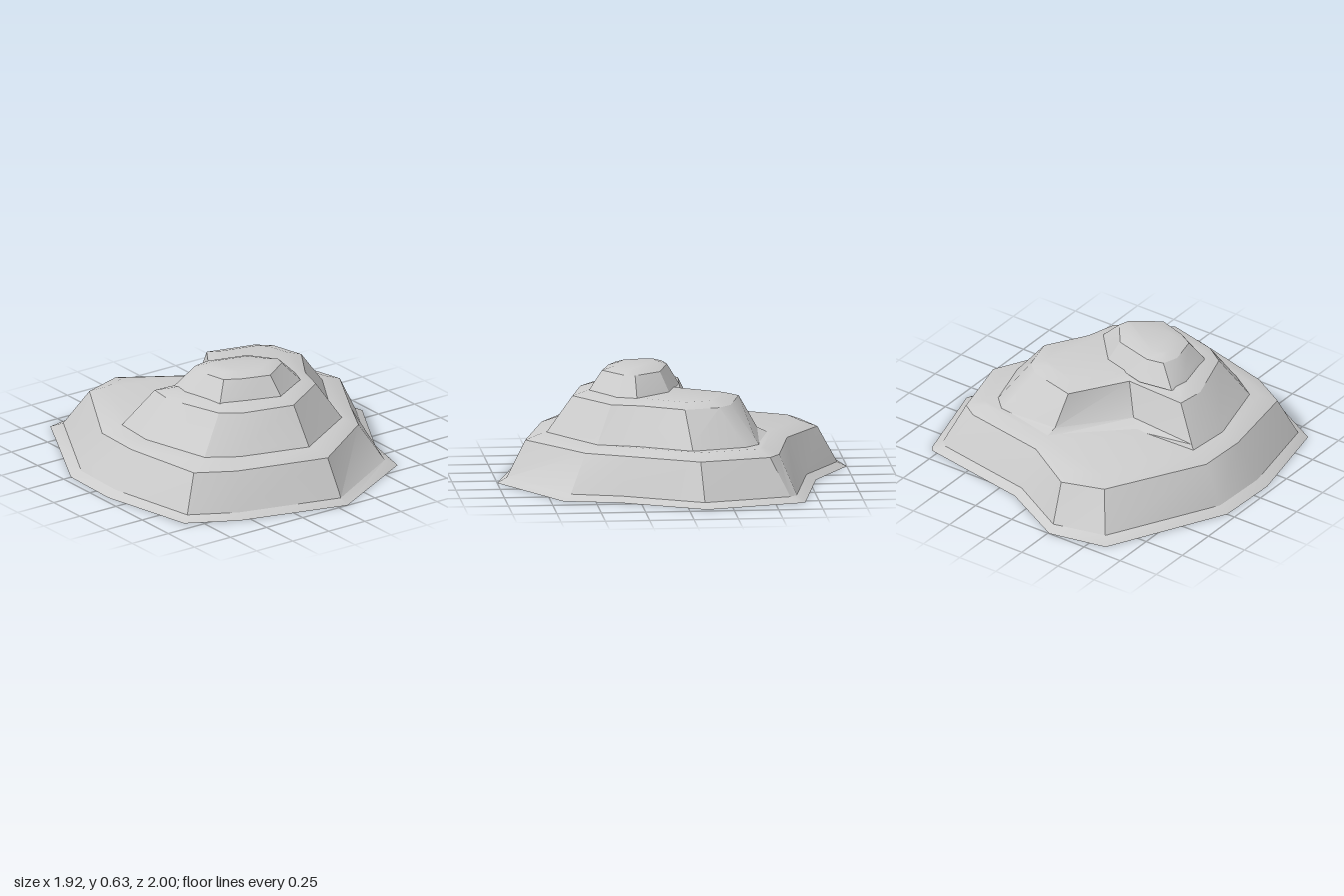
import * as THREE from 'three';
import { toCreasedNormals } from 'three/addons/utils/BufferGeometryUtils.js';

// Outlines run back, left, front, right; each row: foot x, foot z, shoulder x, shoulder z, lip fraction
const LOWER = [
  [-0.26, -1.0, -0.22, -0.83], [-0.6, -0.93, -0.46, -0.75], [-0.95, -0.25, -0.77, -0.2],
  [-0.96, 0.12, -0.78, 0.09], [-0.84, 0.68, -0.7, 0.58], [-0.56, 0.83, -0.49, 0.7],
  [0.06, 1.0, 0.04, 0.84], [0.64, 0.68, 0.47, 0.54], [0.71, 0.37, 0.58, 0.32],
  [0.96, -0.1, 0.79, -0.08], [0.81, -0.64, 0.69, -0.48], [0.79, -0.67, 0.6, -0.54],
  [0.13, -0.79, 0.1, -0.63],
];
const MIDDLE = [
  [0.1, -0.53, 0.07, -0.36, 0.4], [-0.28, -0.18, -0.13, -0.05, 0.5], [-0.66, -0.17, -0.5, -0.07],
  [-0.68, 0.09, -0.52, 0.09], [-0.57, 0.5, -0.41, 0.42], [-0.4, 0.61, -0.29, 0.5],
  [0, 0.72, 0, 0.57], [0.41, 0.47, 0.29, 0.38], [0.48, 0.25, 0.34, 0.21],
  [0.65, -0.05, 0.48, -0.02], [0.56, -0.36, 0.43, -0.22], [0.48, -0.44, 0.35, -0.29],
];
const UPPER = [
  [-0.2, -0.05, -0.2, 0.02], [-0.4, -0.02, -0.3, 0.04], [-0.42, 0.1, -0.33, 0.13],
  [-0.36, 0.36, -0.29, 0.3], [-0.2, 0.42, -0.2, 0.35], [-0.02, 0.48, -0.04, 0.4],
  [0.22, 0.34, 0.12, 0.29], [0.26, 0.23, 0.14, 0.23], [0.08, 0.03, 0.03, 0.08],
];

// Moves every edge of a counterclockwise outline inwards by d
function inset(points, d) {
  const n = points.length;
  const normal = (a, b) => new THREE.Vector2(a.y - b.y, b.x - a.x).normalize();
  return points.map((p, i) => {
    const n1 = normal(points[(i + n - 1) % n], p);
    const n2 = normal(p, points[(i + 1) % n]);
    const miter = n1.clone().add(n2);
    return p.clone().addScaledVector(miter, d / (1 + n1.dot(n2)));
  });
}

// One terrace: flared lip, sloping wall, softened rim, flat top and underside
function terrace(name, rows, { foot, shoulder, top, rim, lip }) {
  const lipHeight = 0.03;
  const straight = lipHeight / (shoulder - foot);
  const feet = rows.map(([x, z]) => new THREE.Vector2(x, -z));
  const shoulders = rows.map((r) => new THREE.Vector2(r[2], -r[3]));
  const lips = rows.map((r, i) => feet[i].clone().lerp(shoulders[i], r[4] ?? lip ?? straight));
  const rings = [
    [feet, foot], [lips, foot + lipHeight], [shoulders, shoulder], [inset(shoulders, rim), top],
  ];

  const positions = [];
  const add = ([points, y], i) => positions.push(points[i].x, y, -points[i].y);
  const n = rows.length;
  for (let k = 0; k < rings.length - 1; k++) {
    const [a, b] = [rings[k], rings[k + 1]];
    for (let i = 0; i < n; i++) {
      const j = (i + 1) % n;
      add(a, i); add(a, j); add(b, j);
      add(a, i); add(b, j); add(b, i);
    }
  }
  const cap = rings[rings.length - 1];
  for (const t of THREE.ShapeUtils.triangulateShape(cap[0], [])) t.forEach((i) => add(cap, i));
  for (const t of THREE.ShapeUtils.triangulateShape(feet, [])) t.reverse().forEach((i) => add(rings[0], i));

  const geometry = new THREE.BufferGeometry();
  geometry.setAttribute('position', new THREE.Float32BufferAttribute(positions, 3));
  const mesh = new THREE.Mesh(
    toCreasedNormals(geometry, THREE.MathUtils.degToRad(26)),
    new THREE.MeshStandardMaterial({ color: 0xcccccc }),
  );
  mesh.name = name;
  return mesh;
}

export function createModel() {
  const hill = new THREE.Group();
  hill.name = 'terracedHill';
  hill.add(
    terrace('lowerTerrace', LOWER, { foot: 0, shoulder: 0.24, top: 0.275, rim: 0.09, lip: 0.33 }),
    terrace('middleTerrace', MIDDLE, { foot: 0.27, shoulder: 0.48, top: 0.507, rim: 0.08 }),
    terrace('upperTerrace', UPPER, { foot: 0.5, shoulder: 0.615, top: 0.635, rim: 0.06 }),
  );
  return hill;
}
